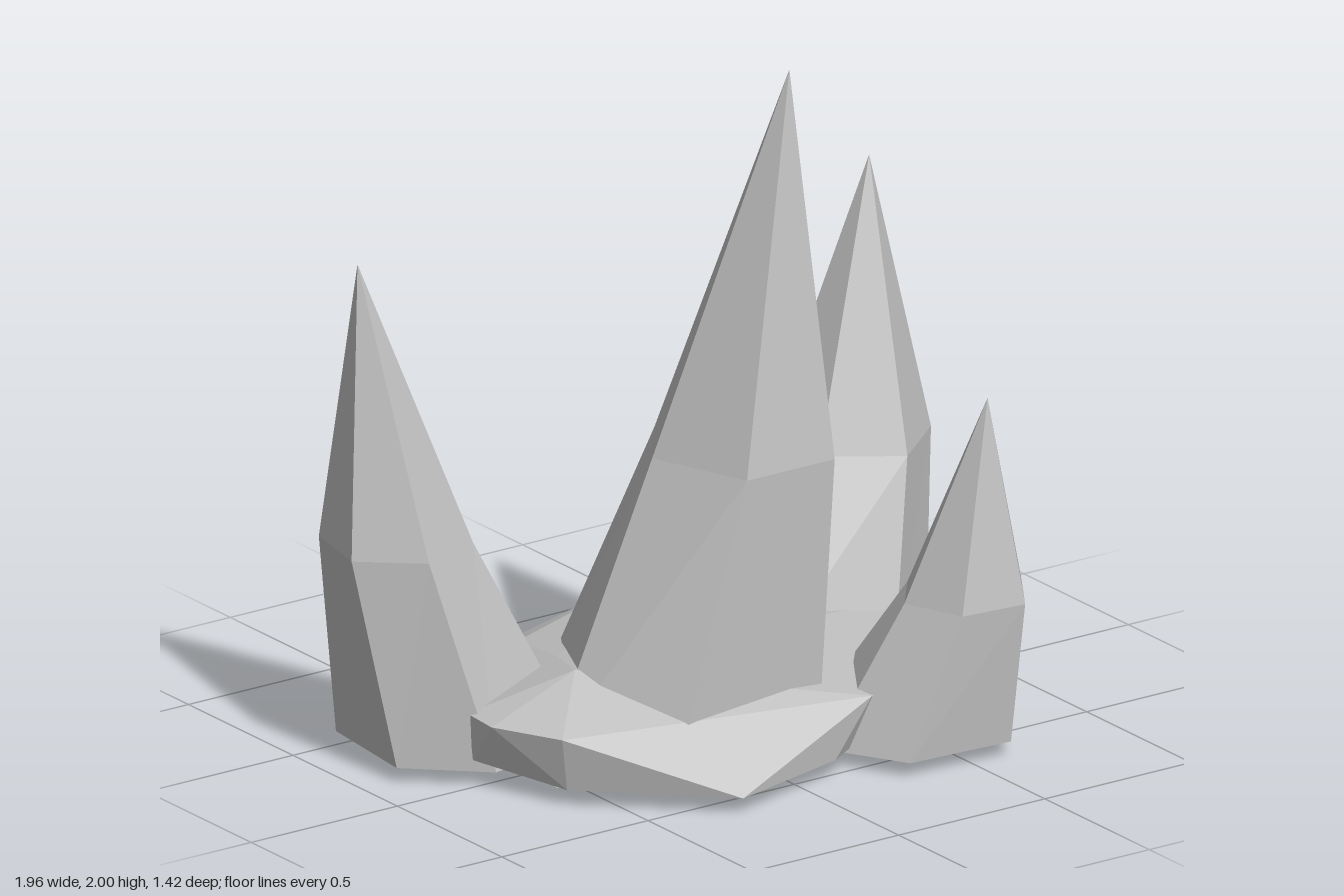
import * as THREE from 'three';
import { ConvexGeometry } from 'three/addons/geometries/ConvexGeometry.js';

// Six-sided crystal: base ring, shoulder ring and tip; rings are [x, z] pairs, anticlockwise from above
function crystalGeometry(base, shoulder, shoulderY, tip) {
  const low = base.map(([x, z]) => [x, 0.045, z]);
  const mid = shoulder.map(([x, z]) => [x, shoulderY, z]);
  const centre = [0, 1, 2].map(k => low.reduce((s, p) => s + p[k], 0) / low.length);
  const pos = [];
  const tri = (...points) => points.forEach(p => pos.push(...p));
  low.forEach((a, i) => {
    const j = (i + 1) % low.length;
    tri(a, low[j], mid[j]);
    tri(a, mid[j], mid[i]);
    tri(mid[i], mid[j], tip);
    tri(low[j], a, centre);
  });
  const g = new THREE.BufferGeometry();
  g.setAttribute('position', new THREE.Float32BufferAttribute(pos, 3));
  g.computeVertexNormals();
  return g;
}

const hull = points => new ConvexGeometry(points.map(p => new THREE.Vector3(...p)));

export function createModel() {
  const group = new THREE.Group();
  const stone = new THREE.MeshStandardMaterial({ color: 0xc0c0c0 });
  stone.name = 'greyStone';
  const add = (name, geometry) => {
    const mesh = new THREE.Mesh(geometry, stone);
    mesh.name = name;
    group.add(mesh);
    return mesh;
  };

  // Tall middle crystal
  add('centreCrystal', crystalGeometry(
    [[0.16, 0.39], [0.31, 0.12], [0.14, -0.34], [-0.3, -0.34], [-0.55, 0.07], [-0.33, 0.39]],
    [[0.21, 0.4], [0.35, 0.15], [0.2, -0.1], [-0.05, -0.1], [-0.2, 0.1], [-0.09, 0.4]],
    0.89, [0.18, 2, 0.225]));

  // Left rear crystal
  add('leftCrystal', crystalGeometry(
    [[0.9, -0.13], [0.86, -0.49], [0.48, -0.65], [0.22, -0.41], [0.25, -0.07], [0.64, 0.08]],
    [[0.975, -0.21], [0.94, -0.465], [0.73, -0.56], [0.57, -0.42], [0.58, -0.19], [0.78, -0.05]],
    0.64, [0.86, 1.43, -0.345]));

  // Right rear crystal
  add('rightCrystal', crystalGeometry(
    [[-0.69, 0.04], [-0.34, -0.05], [-0.23, -0.36], [-0.5, -0.59], [-0.86, -0.49], [-0.895, -0.15]],
    [[-0.82, -0.1], [-0.62, -0.17], [-0.6, -0.38], [-0.75, -0.53], [-0.94, -0.46], [-0.985, -0.24]],
    0.65, [-0.89, 1.48, -0.345]));

  // Short front crystal
  add('frontCrystal', crystalGeometry(
    [[0.62, 0.67], [0.78, 0.4], [0.65, 0.14], [0.33, 0.13], [0.16, 0.42], [0.29, 0.65]],
    [[0.64, 0.71], [0.755, 0.53], [0.66, 0.37], [0.48, 0.37], [0.37, 0.51], [0.44, 0.69]],
    0.46, [0.59, 1.05, 0.6]));

  // Thin splinter lying against the back of the middle crystal
  add('splinter', hull([
    [0.02, 1.12, -0.04], [0.09, 1.15, -0.05], [0.08, 1.1, 0.05],
    [0.14, 0.35, -0.25], [0.26, 0.35, -0.2], [0.2, 0.35, -0.1]]));

  // Faceted rock slab carrying the crystals
  add('rockBase', hull([
    // upper rim
    [-0.65, 0.21, 0.3], [0.26, 0.21, 0.51], [0.66, 0.21, 0.24], [0.975, 0.215, -0.06],
    [0.94, 0.19, -0.15], [0.88, 0.12, -0.29], [0.5, 0.2, -0.58], [0.3, 0.21, -0.65],
    [-0.74, 0.21, -0.03], [-0.75, 0.21, 0.1],
    // raised hump and crest
    [-0.45, 0.31, 0.08], [-0.38, 0.28, -0.1], [-0.3, 0.22, -0.4],
    // lower rim
    [-0.26, 0.05, 0.62], [0.12, 0.055, 0.53], [0.66, 0.08, 0.22], [0.6, 0.055, 0.1],
    [0.78, 0.1, -0.02], [0.55, 0.045, -0.45], [0.32, 0.05, -0.67], [-0.26, 0.055, -0.715],
    [-0.53, 0.06, -0.55], [-0.74, 0.08, 0], [-0.62, 0.05, 0.28]]));

  // Small knobs beneath the slab
  [[-0.45, 0.14], [0.04, -0.42], [0.42, -0.1]].forEach(([x, z], i) => {
    const knob = add('underKnob' + (i + 1), new THREE.CylinderGeometry(0.2, 0.05, 0.045, 6).toNonIndexed());
    knob.geometry.computeVertexNormals();
    knob.position.set(x, 0.0225, z);
    knob.rotation.y = i * 0.7;
  });

  return group;
}
